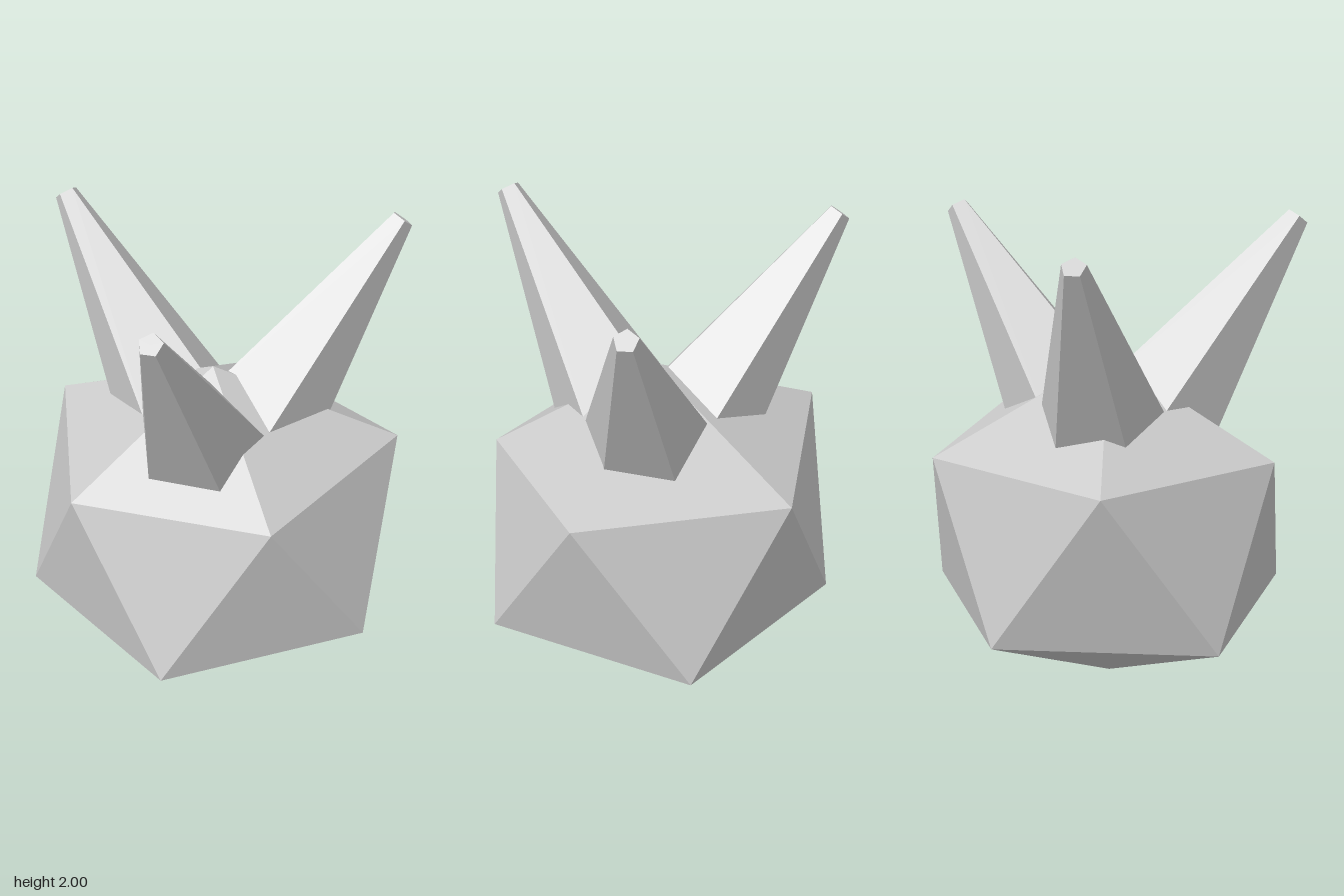
import * as THREE from 'three';
import { ConvexGeometry } from 'three/addons/geometries/ConvexGeometry.js';

const material = new THREE.MeshStandardMaterial({ color: 0xcccccc, flatShading: true });

// Irregular, slightly squashed icosahedron: two staggered rings of five between two poles
function createBody() {
  const corners = [
    [-0.02, 1.43, -0.05],
    [-0.61, 1.04, 0.37], [0.19, 1.01, 0.59], [0.77, 1.07, -0.06], [0.21, 1.05, -0.77], [-0.67, 1.07, -0.53],
    [-0.26, 0.365, 0.69], [0.605, 0.365, 0.4], [0.62, 0.36, -0.52], [-0.26, 0.37, -0.785], [-0.815, 0.36, -0.06],
    [-0.02, 0, -0.05],
  ];
  const body = new THREE.Mesh(new ConvexGeometry(corners.map((c) => new THREE.Vector3(...c))), material);
  body.name = 'body';
  return body;
}

// Five-sided tapered horn, leaning outward, with its base sunk into the body
function createHornGeometry() {
  const length = 1.1;
  const lean = THREE.MathUtils.degToRad(37.4);
  return new THREE.CylinderGeometry(0.05, 0.295, length, 5, 1, false, Math.PI)
    .translate(0, -length / 2, 0)
    .rotateX(lean)
    .translate(0, 1.97, 0.83);
}

export function createModel() {
  const model = new THREE.Group();
  model.name = 'hornedRock';
  model.add(createBody());

  // Three horns spread around the body's vertical axis
  const hornGeometry = createHornGeometry();
  const headings = { frontHorn: -17.5, leftHorn: 108, rightHorn: -133 };
  for (const [name, heading] of Object.entries(headings)) {
    const horn = new THREE.Mesh(hornGeometry, material);
    horn.name = name;
    horn.position.set(-0.02, 0, -0.05);
    horn.rotation.y = THREE.MathUtils.degToRad(heading);
    model.add(horn);
  }
  return model;
}
